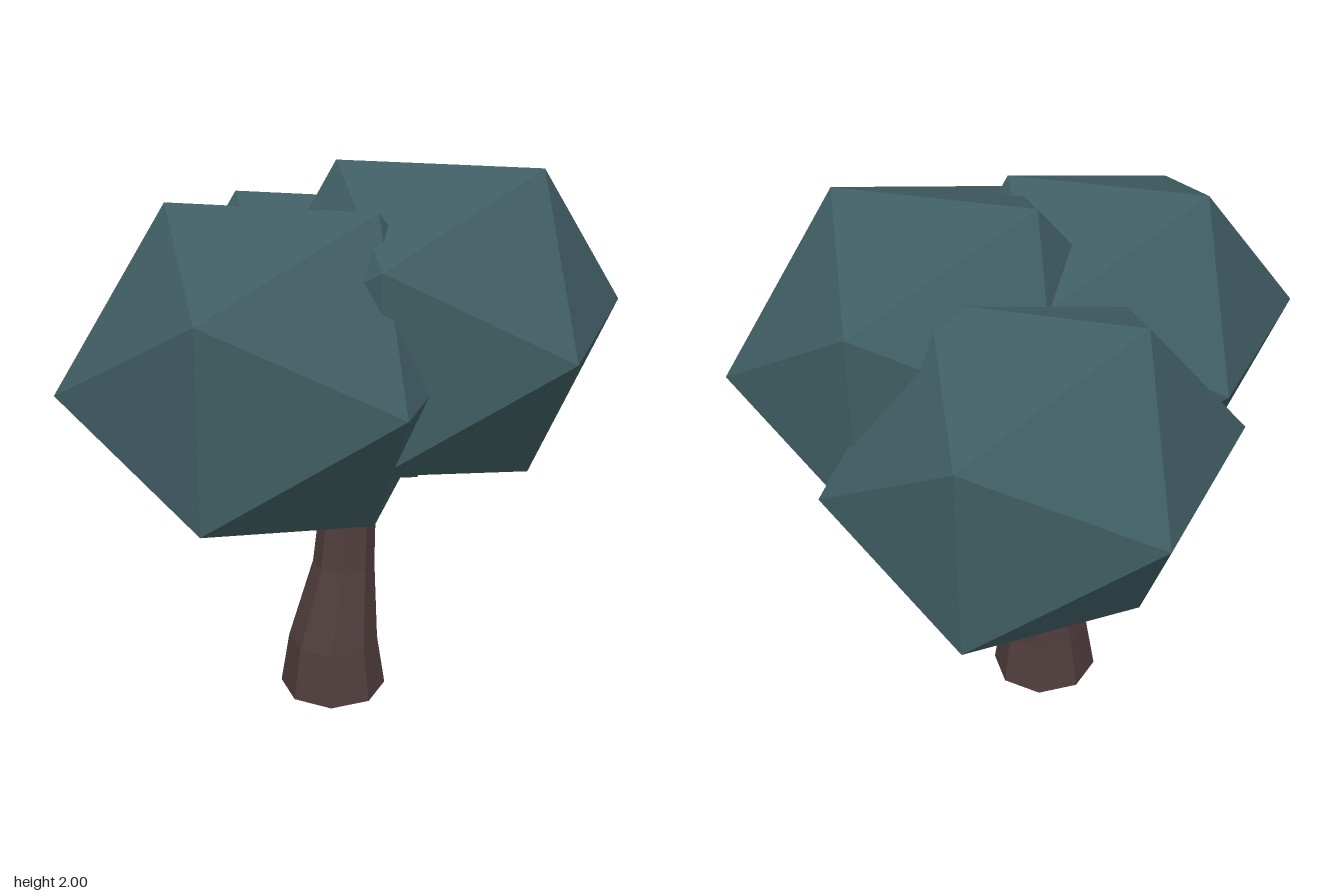
import * as THREE from 'three';

const leafMaterial = new THREE.MeshStandardMaterial({ color: 0x3f5d62, flatShading: true });
const barkMaterial = new THREE.MeshStandardMaterial({ color: 0x4f3c3c, flatShading: true });

// Leaning, tapered eight-sided trunk: each row is height, centre x, radius
function createTrunk() {
  const rows = [
    [0, 0.027, 0.198],
    [0.2, 0.027, 0.167],
    [0.5, 0.08, 0.115],
    [1.15, 0.135, 0.082],
  ];
  const last = rows.length - 1;
  const geometry = new THREE.CylinderGeometry(1, 1, last, 8, last).translate(0, last / 2, 0);
  const p = geometry.attributes.position;
  for (let i = 0; i < p.count; i++) {
    const [y, cx, r] = rows[Math.round(p.getY(i))];
    p.setXYZ(i, cx + p.getX(i) * r, y, 0.055 + p.getZ(i) * r);
  }
  geometry.computeVertexNormals();
  const trunk = new THREE.Mesh(geometry, barkMaterial);
  trunk.name = 'trunk';
  return trunk;
}

// Icosahedron with one corner facing +z, stretched sideways
function createCrownGeometry() {
  const t = (1 + Math.sqrt(5)) / 2;
  return new THREE.IcosahedronGeometry(1, 0)
    .rotateX(Math.atan(1 / t))
    .rotateZ(Math.PI / 2)
    .scale(0.755, 0.647, 0.636);
}

export function createModel() {
  const tree = new THREE.Group();
  tree.name = 'tree';
  tree.add(createTrunk());

  // Three overlapping leaf clumps
  const crownGeometry = createCrownGeometry();
  const clumps = [
    ['frontFoliage', 0.305, 1.45, 0.27],
    ['sideFoliage', -0.308, 1.375, 0.108],
    ['backFoliage', 0.305, 1.247, -0.272],
  ];
  for (const [name, x, y, z] of clumps) {
    const clump = new THREE.Mesh(crownGeometry, leafMaterial);
    clump.name = name;
    clump.position.set(x, y, z);
    tree.add(clump);
  }
  return tree;
}
